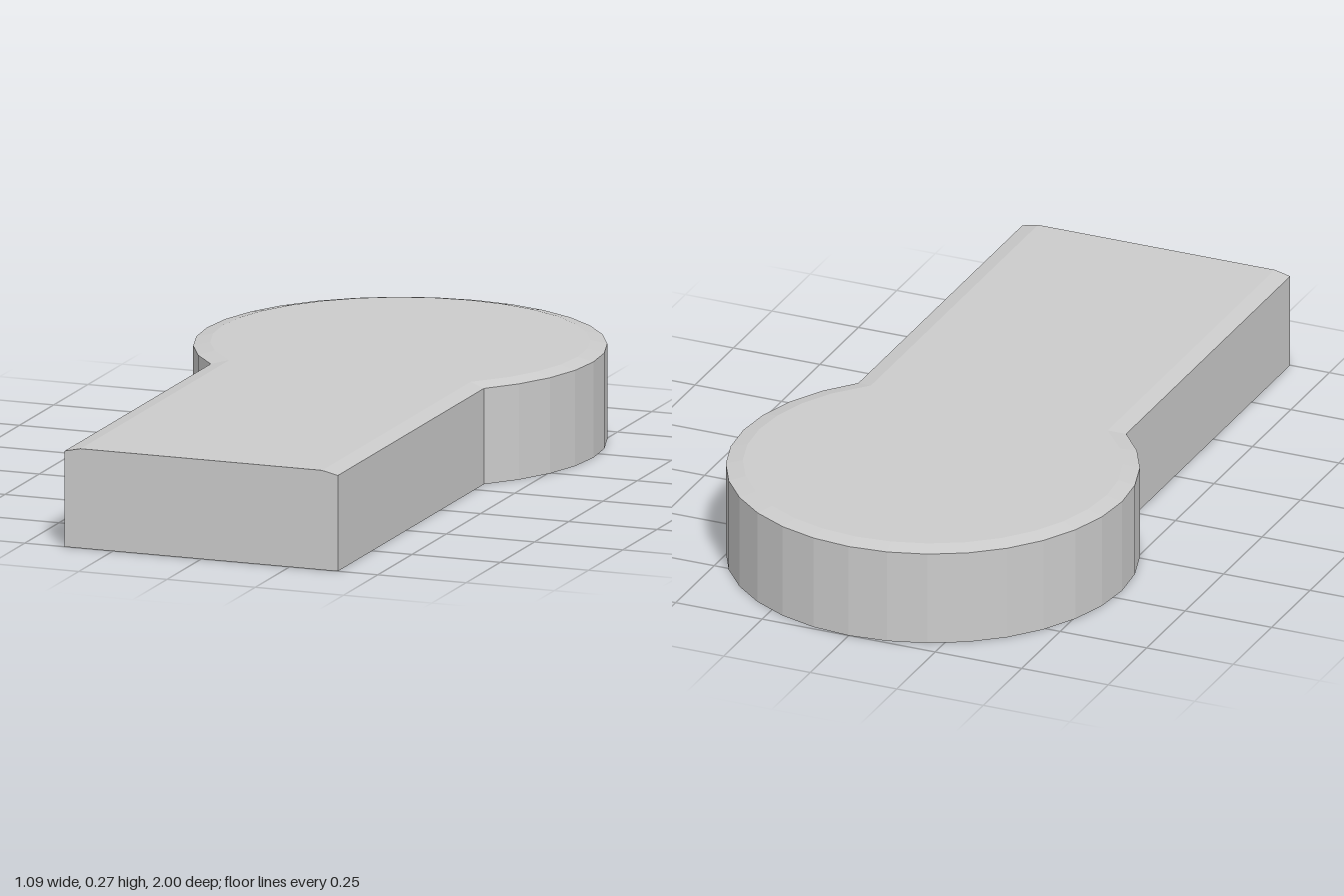
import * as THREE from 'three';

const HEAD_Z = -0.453, FRONT_Z = 1;

// Keyhole outline (x, -z), counter-clockwise: straight stem plus 24 of 32 sides of a round head
function outline(radius, halfWidth) {
  const joint = Math.asin(halfWidth / radius);
  const pts = [new THREE.Vector2(halfWidth, -FRONT_Z)];
  for (let i = 0; i <= 24; i++) {
    const a = i === 0 ? joint : i === 24 ? 2 * Math.PI - joint : Math.PI / 4 + (i * Math.PI) / 16;
    pts.push(new THREE.Vector2(radius * Math.sin(a), -HEAD_Z - radius * Math.cos(a)));
  }
  pts.push(new THREE.Vector2(-halfWidth, -FRONT_Z));
  return pts;
}

export function createModel() {
  const outer = outline(0.547, 0.387);
  const inner = outline(0.502, 0.342);
  const n = outer.length;

  // Bottom edge, top of the wall, and inner edge of the shallow bevel
  const rings = [[outer, 0], [outer, 0.26], [inner, 0.27]];
  const positions = [], index = [];
  for (const [pts, y] of rings) {
    for (const p of pts) positions.push(p.x, y, -p.y);
  }

  // Walls and bevel
  for (let r = 0; r < 2; r++) {
    for (let i = 0; i < n; i++) {
      const a = r * n + i, b = r * n + ((i + 1) % n);
      index.push(a, b, b + n, a, b + n, a + n);
    }
  }

  // Flat underside and top
  for (const [a, b, c] of THREE.ShapeUtils.triangulateShape(outer, [])) index.push(a, c, b);
  for (const [a, b, c] of THREE.ShapeUtils.triangulateShape(inner, [])) {
    index.push(a + 2 * n, b + 2 * n, c + 2 * n);
  }

  const indexed = new THREE.BufferGeometry();
  indexed.setAttribute('position', new THREE.Float32BufferAttribute(positions, 3));
  indexed.setIndex(index);
  const geometry = indexed.toNonIndexed();
  geometry.computeVertexNormals();

  const slab = new THREE.Mesh(
    geometry,
    new THREE.MeshStandardMaterial({ color: 0xcccccc, flatShading: true })
  );
  slab.name = 'keyholeSlab';

  const group = new THREE.Group();
  group.name = 'keyholeBlock';
  group.add(slab);
  return group;
}
